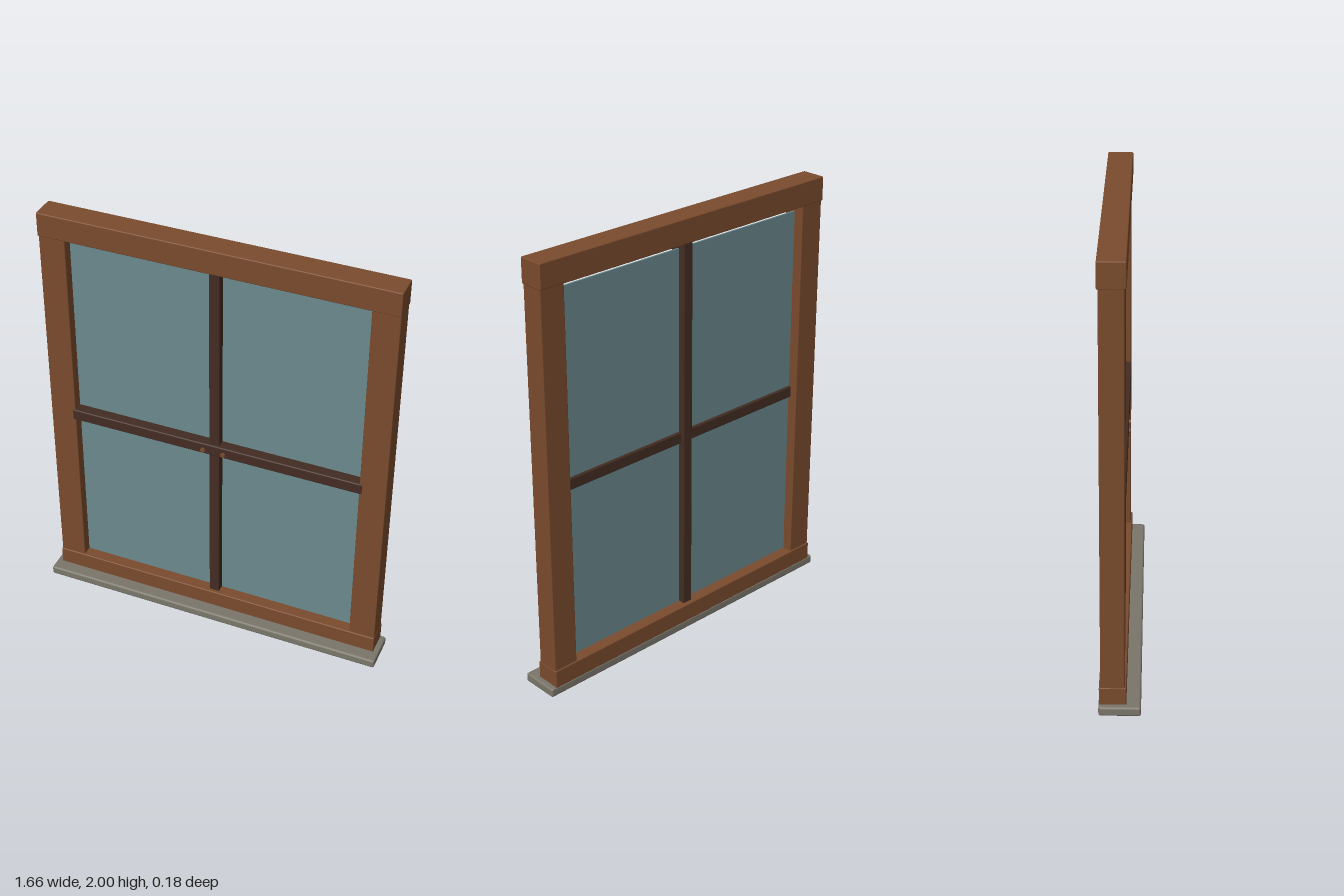
import * as THREE from 'three';
import { RoundedBoxGeometry } from 'three/addons/geometries/RoundedBoxGeometry.js';

const mat = (name, color) => {
  const m = new THREE.MeshStandardMaterial({ color });
  m.name = name;
  return m;
};

export function createModel() {
  const wood = mat('warm wood', 0x7a4b2d);
  const darkWood = mat('dark wood', 0x432c23);
  const stone = mat('grey stone', 0x7a766a);
  const glass = mat('blue grey glass', 0x6a898d);

  const window = new THREE.Group();
  window.name = 'window';

  // Softly bevelled board given by its min and max on each axis
  const board = (name, material, [x0, x1], [y0, y1], [z0, z1], bevel = 0.005) => {
    const geo = new RoundedBoxGeometry(x1 - x0, y1 - y0, z1 - z0, 2, bevel);
    const mesh = new THREE.Mesh(geo, material);
    mesh.name = name;
    mesh.position.set((x0 + x1) / 2, (y0 + y1) / 2, (z0 + z1) / 2);
    window.add(mesh);
    return mesh;
  };

  // Outer frame
  board('sill', stone, [-0.832, 0.832], [0, 0.043], [-0.09, 0.09], 0.01);
  board('bottomRail', wood, [-0.806, 0.806], [0.036, 0.124], [-0.088, 0.028]);
  board('headRail', wood, [-0.806, 0.806], [1.888, 2], [-0.088, 0.028]);
  board('leftJamb', wood, [0.682, 0.804], [0.04, 1.9], [-0.082, 0.021]);
  board('rightJamb', wood, [-0.804, -0.682], [0.04, 1.9], [-0.082, 0.021]);

  // Glazing bars
  board('verticalBar', darkWood, [-0.024, 0.024], [0.11, 1.9], [-0.068, 0.01], 0.003);
  board('meetingRail', darkWood, [-0.695, 0.695], [0.947, 1.001], [-0.048, 0.024], 0.006);

  // Glass pane, stopping short of the head rail
  const pane = new THREE.Mesh(new THREE.BoxGeometry(1.38, 1.745, 0.008), glass);
  pane.name = 'glassPane';
  pane.position.set(0, 0.9825, -0.031);
  window.add(pane);

  // Small latch knobs on the meeting rail
  for (const side of [-1, 1]) {
    const knob = new THREE.Mesh(new THREE.CylinderGeometry(0.011, 0.011, 0.016, 16), wood);
    knob.name = side > 0 ? 'leftKnob' : 'rightKnob';
    knob.rotation.x = Math.PI / 2;
    knob.position.set(side * 0.048, 0.968, 0.024);
    window.add(knob);
  }

  return window;
}
